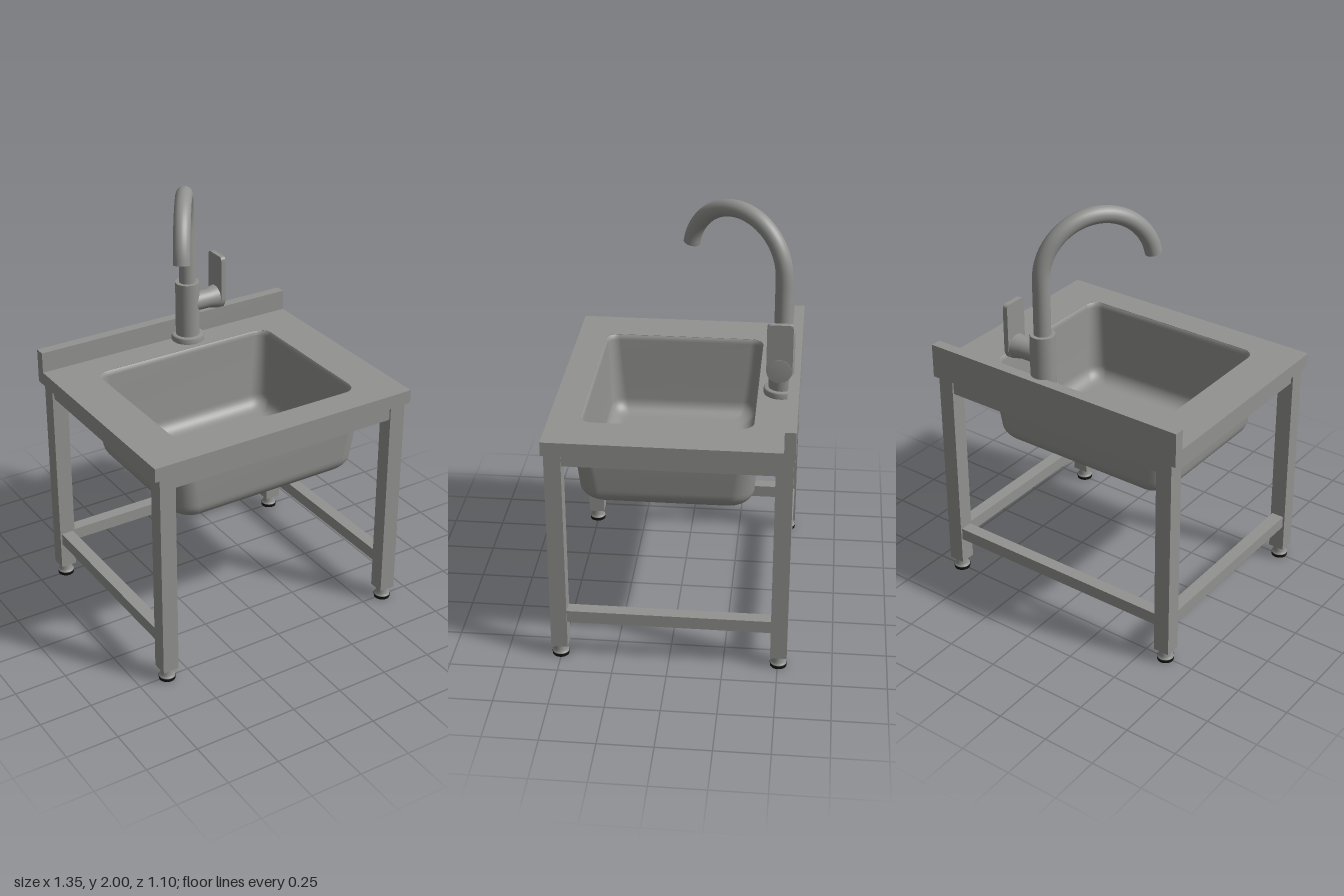
import * as THREE from 'three';

const steel = new THREE.MeshStandardMaterial({ color: 0x929290 });
steel.name = 'brushed steel';
const rubber = new THREE.MeshStandardMaterial({ color: 0x151515 });
rubber.name = 'black rubber';

function add(parent, name, geometry, x = 0, y = 0, z = 0, material = steel) {
  const mesh = new THREE.Mesh(geometry, material);
  mesh.name = name;
  mesh.position.set(x, y, z);
  parent.add(mesh);
  return mesh;
}

const lathe = (points, segments = 40) =>
  new THREE.LatheGeometry(points.map(([r, y]) => new THREE.Vector2(r, y)), segments);

// Rounded rectangle outline, angle running from +x to +second axis
function roundedRect(hx, hz, r, steps = 8) {
  const points = [];
  [[1, 1], [-1, 1], [-1, -1], [1, -1]].forEach(([sx, sz], q) => {
    for (let i = 0; i <= steps; i++) {
      const a = (q + i / steps) * Math.PI / 2;
      points.push(new THREE.Vector2(sx * (hx - r) + r * Math.cos(a), sz * (hz - r) + r * Math.sin(a)));
    }
  });
  return points;
}

// Skin over rounded rectangular sections [y, half x, half z, corner radius]
function loft(sections) {
  const positions = [], index = [];
  let n = 0;
  for (const [y, hx, hz, r] of sections) {
    const ring = roundedRect(hx, hz, r);
    n = ring.length;
    ring.forEach(p => positions.push(p.x, y, p.y));
  }
  for (let i = 0; i < sections.length - 1; i++) {
    for (let j = 0; j < n; j++) {
      const a = i * n + j, b = i * n + (j + 1) % n;
      index.push(a, a + n, b, b, a + n, b + n);
    }
  }
  const g = new THREE.BufferGeometry();
  g.setAttribute('position', new THREE.Float32BufferAttribute(positions, 3));
  g.setIndex(index);
  g.computeVertexNormals();
  return g;
}

// Quarter-round between basin floor and wall, listed from floor to wall
function floorRound(y, hx, hz, bend, corner) {
  const rows = [[y, 0, 0, 0], [y, hx - bend - 0.02, hz - bend - 0.02, 0.03]];
  for (let i = 0; i <= 8; i++) {
    const a = i / 8 * Math.PI / 2, inset = bend * (1 - Math.sin(a));
    rows.push([y + bend * (1 - Math.cos(a)), hx - inset, hz - inset, Math.max(corner - inset * 0.5, 0.03)]);
  }
  return rows;
}

function buildTop(root) {
  const top = new THREE.Group();
  top.name = 'sinkTop';
  root.add(top);

  // Worktop with the basin cut-out
  const shape = new THREE.Shape([[-0.675, -0.55], [0.675, -0.55], [0.675, 0.5], [-0.675, 0.5]]
    .map(p => new THREE.Vector2(...p)));
  shape.holes.push(new THREE.Path(roundedRect(0.47, 0.385, 0.06)
    .map(p => new THREE.Vector2(p.x, p.y - 0.025))));
  const slab = new THREE.ExtrudeGeometry(shape, { depth: 0.065, bevelEnabled: false });
  slab.rotateX(-Math.PI / 2);
  add(top, 'worktop', slab, 0, 1.075, 0);
  add(top, 'backsplash', new THREE.BoxGeometry(1.35, 0.165, 0.05), 0, 1.1575, -0.525);

  // Basin shell: outside, then inside with a softened rim
  const outer = floorRound(0.72, 0.483, 0.397, 0.085, 0.1);
  outer.push([0.95, 0.497, 0.409, 0.09], [1.08, 0.502, 0.413, 0.09]);
  add(top, 'basinOutside', loft(outer), 0, 0, 0.03);
  const inner = floorRound(0.737, 0.445, 0.36, 0.07, 0.07);
  inner.push([1.0, 0.457, 0.372, 0.06], [1.115, 0.461, 0.376, 0.055],
    [1.13, 0.464, 0.379, 0.057], [1.14, 0.471, 0.386, 0.061]);
  add(top, 'basinInside', loft(inner.reverse()), 0, 0, 0.025);

  // Drain flange and raised half cap
  add(top, 'drainFlange', lathe([[0.079, 0], [0.078, 0.008], [0.07, 0.012], [0.06, 0.01],
    [0.04, 0.004], [0, 0.003]]), 0, 0.737, 0);
  const cap = new THREE.CylinderGeometry(0.033, 0.035, 0.012, 24, 1, false, Math.PI / 2, Math.PI);
  add(top, 'drainCap', cap, 0, 0.744, 0).material = steel;
}

function buildFrame(root) {
  const frame = new THREE.Group();
  frame.name = 'frame';
  root.add(frame);
  const lx = 0.61, lz = 0.504;

  // Legs with adjustable feet
  for (const x of [-lx, lx]) {
    for (const z of [-lz, lz]) {
      const leg = new THREE.Group();
      leg.name = 'leg';
      leg.position.set(x, 0, z);
      frame.add(leg);
      add(leg, 'legPost', new THREE.BoxGeometry(0.078, 1.02, 0.076), 0, 0.57, 0);
      add(leg, 'footStem', lathe([[0, 0.015], [0.039, 0.015], [0.038, 0.02], [0.029, 0.028],
        [0.029, 0.062]], 24));
      add(leg, 'footPad', new THREE.CylinderGeometry(0.04, 0.038, 0.016, 24), 0, 0.008, 0, rubber);
    }
  }

  // Upper rails on four sides, lower rails on the sides and back
  for (const s of [-1, 1]) {
    add(frame, 'upperCrossRail', new THREE.BoxGeometry(1.16, 0.07, 0.06), 0, 1.043, s * lz);
    add(frame, 'upperSideRail', new THREE.BoxGeometry(0.06, 0.07, 0.95), s * lx, 1.043, 0);
    add(frame, 'lowerSideRail', new THREE.BoxGeometry(0.06, 0.06, 0.95), s * lx, 0.222, 0);
  }
  add(frame, 'lowerBackRail', new THREE.BoxGeometry(1.16, 0.06, 0.06), 0, 0.222, -lz);
}

function buildFaucet(root) {
  const faucet = new THREE.Group();
  faucet.name = 'faucet';
  faucet.position.set(0.092, 1.14, -0.464);
  root.add(faucet);

  add(faucet, 'faucetBase', lathe([[0.079, 0], [0.079, 0.024], [0.074, 0.03], [0.055, 0.03]]));
  add(faucet, 'faucetBody', new THREE.CylinderGeometry(0.058, 0.058, 0.275, 40), 0, 0.1625, 0);

  // Swivelled gooseneck spout
  const dir = new THREE.Vector3(-0.285, 0, 0.435).normalize();
  const R = 0.262, rise = 0.56, points = [];
  for (const y of [0.28, 0.38, 0.48]) points.push(new THREE.Vector3(0, y, 0));
  for (let i = 0; i <= 17; i++) {
    const a = i / 18 * Math.PI;
    points.push(dir.clone().multiplyScalar(R * (1 - Math.cos(a))).setY(rise + R * Math.sin(a)));
  }
  const path = new THREE.CatmullRomCurve3(points);
  add(faucet, 'spout', new THREE.TubeGeometry(path, 80, 0.039, 24));
  const tip = add(faucet, 'spoutTip', new THREE.CircleGeometry(0.039, 24));
  tip.position.copy(path.getPoint(1));
  tip.quaternion.setFromUnitVectors(new THREE.Vector3(0, 0, 1), path.getTangent(1));

  // Side valve and flat lever
  const valve = lathe([[0.047, 0], [0.047, 0.11], [0.057, 0.15], [0.057, 0.175], [0.052, 0.179], [0, 0.179]]);
  valve.rotateZ(-Math.PI / 2);
  add(faucet, 'valve', valve, 0, 0.19, 0.006);
  const blade = new THREE.Shape();
  blade.moveTo(0.058, 0);
  blade.lineTo(0.058, 0.2);
  blade.quadraticCurveTo(0.058, 0.22, 0.038, 0.22);
  blade.lineTo(-0.038, 0.22);
  blade.quadraticCurveTo(-0.058, 0.22, -0.058, 0.2);
  blade.lineTo(-0.058, 0);
  blade.absarc(0, 0, 0.058, Math.PI, Math.PI * 2, false);
  const lever = new THREE.ExtrudeGeometry(blade, { depth: 0.024, bevelEnabled: false, curveSegments: 16 });
  lever.rotateY(Math.PI / 2);
  add(faucet, 'lever', lever, 0.153, 0.19, 0.006);
}

export function createModel() {
  const root = new THREE.Group();
  root.name = 'sinkStand';
  buildTop(root);
  buildFrame(root);
  buildFaucet(root);
  return root;
}
